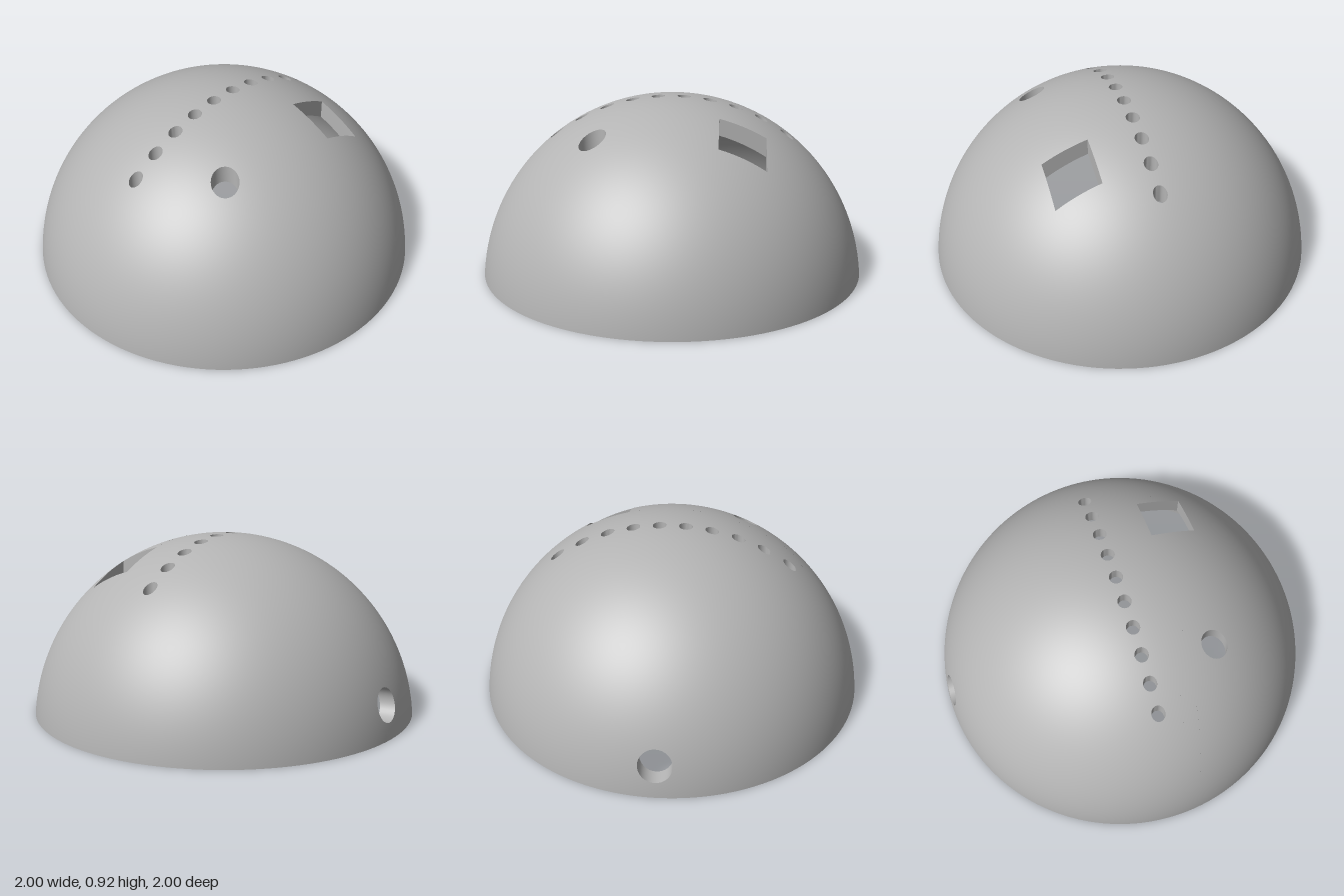
import * as THREE from 'three';
import { toCreasedNormals } from 'three/addons/utils/BufferGeometryUtils.js';

const DROP = 0.083;                // sphere centre lies this far below the base
const OUTER = 1.0035, INNER = 0.924;
const MAX_EDGE = 0.06, RIM_SEGMENTS = 128;

// Outlines run counter-clockwise around the cutting axis
function circle(cu, cv, radius, segments) {
  return Array.from({ length: segments }, (_, i) => {
    const a = (i / segments) * Math.PI * 2;
    return [cu + radius * Math.cos(a), cv + radius * Math.sin(a)];
  });
}

function square(cu, cv, half, steps) {
  const corners = [[1, -1], [1, 1], [-1, 1], [-1, -1]];
  return corners.flatMap(([u, v], i) => {
    const [nu, nv] = corners[(i + 1) % 4];
    return Array.from({ length: steps }, (_, k) => [
      cu + half * (u + (nu - u) * k / steps),
      cv + half * (v + (nv - v) * k / steps)]);
  });
}

// Where a vertical cut (u = z, v = x) meets the sphere
const fromTop = (r, [z, x]) => new THREE.Vector3(x, Math.sqrt(r * r - x * x - z * z) - DROP, z);
// Where a horizontal cut from behind (u = y, v = x) meets the sphere
const fromBack = (r, [y, x]) => new THREE.Vector3(x, y, -Math.sqrt(r * r - x * x - (y + DROP) ** 2));

// Stereographic map between the sphere and a plane
function flatten(r, p) {
  const k = r + p.y + DROP;
  return new THREE.Vector2(p.x / k, -p.z / k);
}
function wrap(p) {
  const k = 2 / (1 + p.x * p.x + p.y * p.y);
  return new THREE.Vector3(p.x * k, k - 1, -p.y * k);
}

// Spherical skin with holes: triangulate flat, bisect long edges, wrap on the sphere
function skin(r, holes, inward) {
  const rimRadius = Math.sqrt(r * r - DROP * DROP);
  const rim = circle(0, 0, rimRadius, RIM_SEGMENTS)
    .map(([x, z]) => flatten(r, new THREE.Vector3(x, 0, -z)));
  const cuts = holes.map(h => h.outline.map(q => flatten(r, h.place(r, q))).reverse());
  const points = [rim, ...cuts].flat();
  const positions = [], normals = [];

  function split(a, b, c) {
    const w = [a, b, c].map(wrap);
    const lengths = [0, 1, 2].map(i => w[i].distanceTo(w[(i + 1) % 3]));
    const longest = Math.max(...lengths);
    if (longest > MAX_EDGE) {
      const i = lengths.indexOf(longest), t = [a, b, c];
      const p = t[i], q = t[(i + 1) % 3], s = t[(i + 2) % 3];
      const m = p.clone().add(q).multiplyScalar(0.5);
      split(p, m, s);
      split(m, q, s);
      return;
    }
    if (inward) w.reverse();
    for (const n of w) {
      positions.push(n.x * r, n.y * r - DROP, n.z * r);
      const s = inward ? -1 : 1;
      normals.push(n.x * s, n.y * s, n.z * s);
    }
  }

  for (const face of THREE.ShapeUtils.triangulateShape(rim, cuts)) {
    const [a, b, c] = face.map(i => points[i]);
    const ccw = (b.x - a.x) * (c.y - a.y) - (b.y - a.y) * (c.x - a.x) > 0;
    if (ccw) split(a, b, c); else split(a, c, b);
  }
  const geometry = new THREE.BufferGeometry();
  geometry.setAttribute('position', new THREE.Float32BufferAttribute(positions, 3));
  geometry.setAttribute('normal', new THREE.Float32BufferAttribute(normals, 3));
  return geometry;
}

// Wall of a hole, joining the outer skin to the inner skin
function holeWall({ outline, place }) {
  const positions = [];
  outline.forEach((q, i) => {
    const next = outline[(i + 1) % outline.length];
    const a = place(OUTER, q), b = place(OUTER, next);
    const c = place(INNER, q), d = place(INNER, next);
    for (const p of [a, b, c, b, d, c]) positions.push(p.x, p.y, p.z);
  });
  const geometry = new THREE.BufferGeometry();
  geometry.setAttribute('position', new THREE.Float32BufferAttribute(positions, 3));
  return toCreasedNormals(geometry, 0.7);
}

export function createModel() {
  const model = new THREE.Group();
  model.name = 'dome';
  const grey = new THREE.MeshStandardMaterial({ color: 0xb4b4b4 });
  grey.name = 'grey';
  const add = (name, geometry) => {
    const mesh = new THREE.Mesh(geometry, grey);
    mesh.name = name;
    model.add(mesh);
    return mesh;
  };

  // Openings: window, round port, cable port at the back, row of small holes
  const holes = [
    { name: 'squareWindow', outline: square(0.365, 0.365, 0.117, 6), place: fromTop },
    { name: 'roundPort', outline: circle(0.37, -0.37, 0.068, 32), place: fromTop },
    { name: 'backPort', outline: circle(0.167, 0, 0.084, 32), place: fromBack },
  ];
  for (let i = 0; i < 10; i++) {
    holes.push({
      name: 'smallHole' + (i + 1),
      outline: circle(0, -0.606 + i * 0.1338, 0.035, 24),
      place: fromTop,
    });
  }

  // Shell
  add('outerShell', skin(OUTER, holes, false));
  add('innerShell', skin(INNER, holes, true));
  for (const hole of holes) add(hole.name + 'Wall', holeWall(hole));

  // Flat rim underneath
  const rimAt = r => Math.sqrt(r * r - DROP * DROP);
  add('baseRim', new THREE.RingGeometry(rimAt(INNER), rimAt(OUTER), RIM_SEGMENTS).rotateX(Math.PI / 2));

  return model;
}
